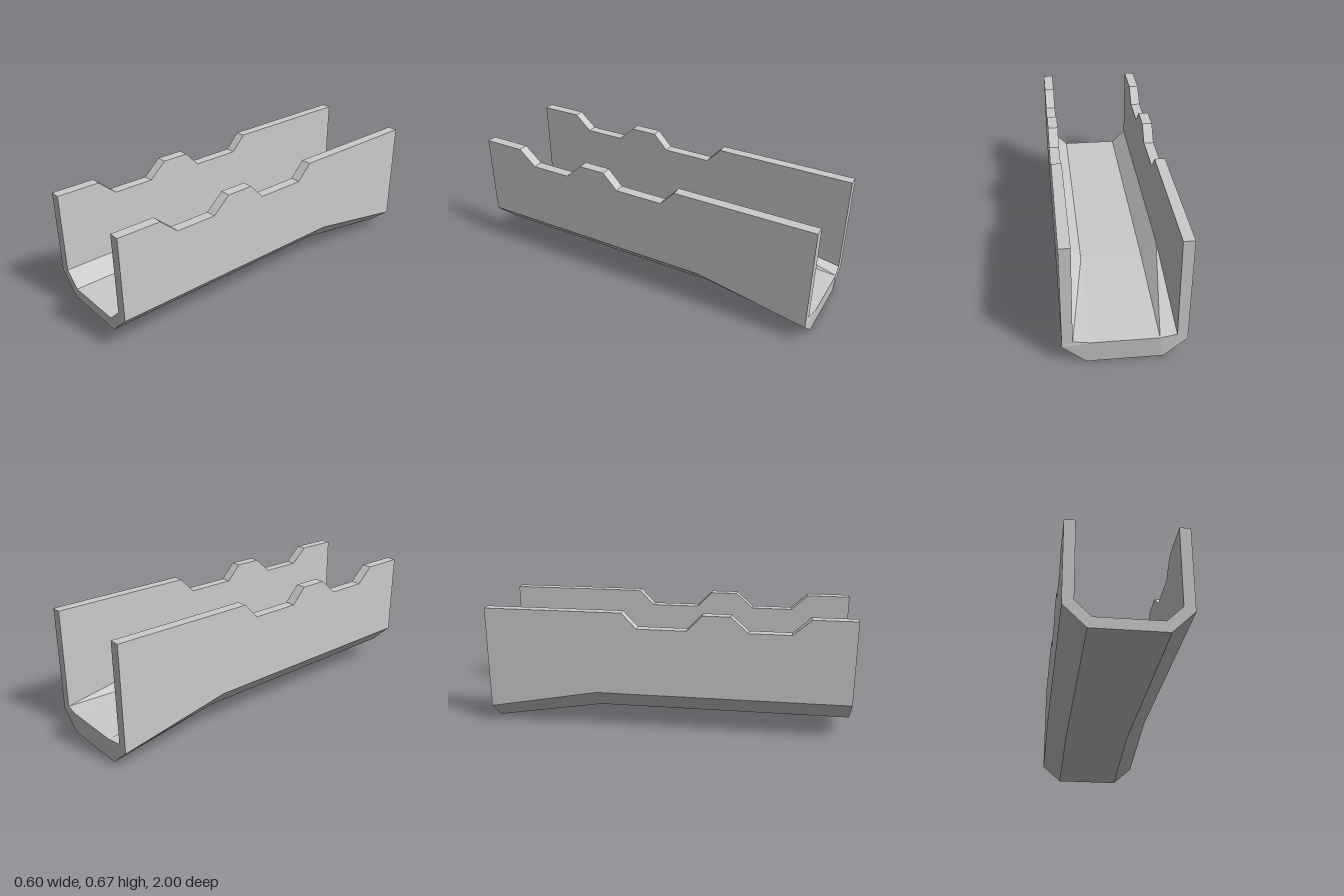
import * as THREE from 'three';

// Wall-top outline along the length: [z, height]
const TOP = [
  [1, 0.67], [0.765, 0.67], [0.67, 0.585], [0.445, 0.585], [0.35, 0.67],
  [0.2, 0.67], [0.12, 0.585], [-0.15, 0.585], [-0.23, 0.67], [-0.38, 0.67], [-0.99, 0.67],
];

// Half sections [x, y]; the top point takes its height from TOP
const MAIN = {
  outer: [[0.302, 0], [0.302, 0.213], [0.187, 0.1]],
  inner: [[0.246, 0], [0.246, 0.236], [0.165, 0.157]],
};
const BACK = {
  outer: [[0.302, 0], [0.302, 0.1], [0.187, 0]],
  inner: [[0.246, 0], [0.25, 0.13], [0.165, 0.125]],
};

// Full run of six points from the left wall top, under the floor, to the right wall top
function run(half, z, top, floorZ) {
  const left = half.map(([x, y], i) =>
    new THREE.Vector3(x, i === 0 ? top : y, i === 2 ? floorZ : z));
  const right = left.map((p) => new THREE.Vector3(-p.x, p.y, p.z)).reverse();
  return [...left, ...right];
}

function channelGeometry() {
  const positions = [];
  const quad = (a, b, c, d) => {
    for (const p of [a, b, c, a, c, d]) positions.push(p.x, p.y, p.z);
  };

  const sections = TOP.map(([z, top], k) => {
    const last = k === TOP.length - 1;
    const shape = last ? BACK : MAIN;
    return {
      outer: run(shape.outer, z, top, z),
      inner: run(shape.inner, z, top, last ? -1 : z),
    };
  });

  // Skin between neighbouring sections
  const rings = sections.map((s) => [...s.outer, ...[...s.inner].reverse()]);
  for (let k = 0; k < rings.length - 1; k++) {
    const n = rings[k].length;
    for (let i = 0; i < n; i++) {
      const j = (i + 1) % n;
      quad(rings[k][i], rings[k][j], rings[k + 1][j], rings[k + 1][i]);
    }
  }

  // End faces, front then back
  const front = sections[0];
  const back = sections[sections.length - 1];
  for (let i = 0; i < 5; i++) {
    quad(front.outer[i], front.inner[i], front.inner[i + 1], front.outer[i + 1]);
    quad(back.outer[i], back.outer[i + 1], back.inner[i + 1], back.inner[i]);
  }

  const geometry = new THREE.BufferGeometry();
  geometry.setAttribute('position', new THREE.Float32BufferAttribute(positions, 3));
  geometry.computeVertexNormals();
  return geometry;
}

export function createModel() {
  const group = new THREE.Group();
  group.name = 'notchedChannel';

  // Open trough with bevelled bottom, notched walls and a dropped rear floor
  const material = new THREE.MeshStandardMaterial({ color: 0xcccccc, flatShading: true });
  const channel = new THREE.Mesh(channelGeometry(), material);
  channel.name = 'channel';
  group.add(channel);
  return group;
}
